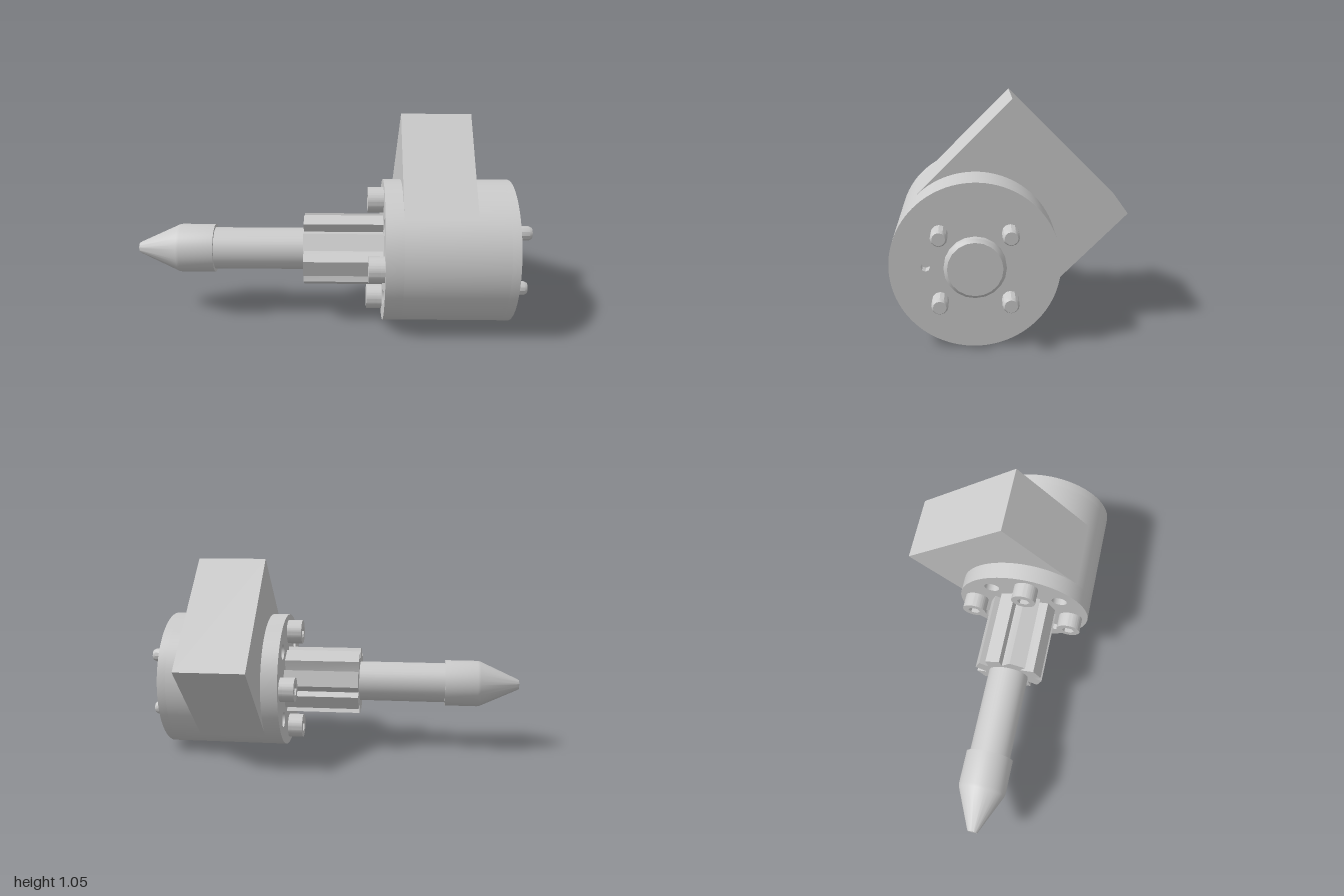
import * as THREE from 'three';
import { toCreasedNormals } from 'three/addons/utils/BufferGeometryUtils.js';

const grey = new THREE.MeshStandardMaterial({ color: 0xcccccc });

export function createModel() {
  const model = new THREE.Group();
  model.name = 'drivenShaftUnit';
  model.position.set(0, 0.365, 0.16); // everything is built around the shaft axis, along x

  const add = (name, geometry, y = 0, z = 0) => {
    const mesh = new THREE.Mesh(toCreasedNormals(geometry, 0.5), grey);
    mesh.name = name;
    mesh.position.set(0, y, z);
    model.add(mesh);
  };

  // Solid of revolution about x, from [x, radius] pairs in ascending x
  const turned = (profile, sides) =>
    new THREE.LatheGeometry(profile.map(([x, r]) => new THREE.Vector2(r, x)), sides).rotateZ(-Math.PI / 2);

  // Shape extruded along x; shape coordinates are (-z, y)
  const extruded = (shape, x0, x1) =>
    new THREE.ExtrudeGeometry(shape, { depth: x1 - x0, bevelEnabled: false, curveSegments: 48 })
      .rotateY(Math.PI / 2).translate(x0, 0, 0);

  const disc = (radius) => new THREE.Shape().absarc(0, 0, radius, 0, Math.PI * 2, false);
  const hole = (x, y, radius, sides = 20) => {
    const points = [];
    for (let i = 0; i < sides; i++) {
      const a = (i / sides) * Math.PI * 2;
      points.push(new THREE.Vector2(x + radius * Math.cos(a), y + radius * Math.sin(a)));
    }
    return new THREE.Path(points);
  };

  // Body: mounting face with four holes, drum, end cap with a locating hole
  const R = 0.365;
  const face = disc(R);
  for (let i = 0; i < 4; i++) {
    const a = (i + 0.5) * Math.PI / 2;
    face.holes.push(hole(0.265 * Math.cos(a), 0.265 * Math.sin(a), 0.042));
  }
  add('mountingFace', extruded(face, 0.27, 0.36));
  add('drum', extruded(disc(R), 0.36, 0.87));
  const cap = disc(R);
  cap.holes.push(hole(-0.21, 0, 0.02, 8));
  add('endCap', extruded(cap, 0.87, 0.915));

  // Square housing tangent to the drum, leaning back at 45 degrees
  add('housing', new THREE.BoxGeometry(0.36, 0.6, 2 * R).translate(0.54, 0.3, 0).rotateX(-Math.PI / 4));

  // Shaft with a tapered nose
  add('shaft', turned([
    [-1, 0], [-1, 0.025], [-0.985, 0.033], [-0.79, 0.122], [-0.775, 0.125],
    [-0.6, 0.125], [-0.6, 0.108], [0.28, 0.108],
  ], 40));

  // Eight-toothed pinion: tip corners, then the sloped flank and narrow root
  const tooth = [[0.13, -27], [0.185, -27], [0.185, 0], [0.135, 14]];
  const outline = [];
  for (let i = 0; i < 8; i++) {
    for (const [r, deg] of tooth) {
      const a = THREE.MathUtils.degToRad(deg + i * 45);
      outline.push(new THREE.Vector2(-r * Math.cos(a), r * Math.sin(a)));
    }
  }
  add('pinion', extruded(new THREE.Shape(outline), -0.135, 0.28));

  // Socket-head bolts around the pinion
  const socket = 0.034;
  for (let i = 0; i < 4; i++) {
    const a = i * Math.PI / 2, y = 0.27 * Math.sin(a), z = 0.27 * Math.cos(a);
    const front = disc(0.065);
    front.holes.push(hole(0, 0, socket, 6));
    add('boltHead', extruded(front, 0.19, 0.25), y, z);
    add('boltBase', extruded(disc(0.065), 0.25, 0.275), y, z);
  }

  // Boss and four pins on the end cap
  add('endBoss', turned([[0.9, 0.133], [0.94, 0.133], [0.955, 0.118], [0.955, 0]], 20));
  for (const y of [-0.149, 0.149]) {
    for (const z of [-0.149, 0.149]) {
      add('endPin', turned([[0.9, 0.036], [0.985, 0.036], [1, 0.028], [1, 0]], 12), y, z);
    }
  }

  const root = new THREE.Group();
  root.add(model);
  return root;
}
